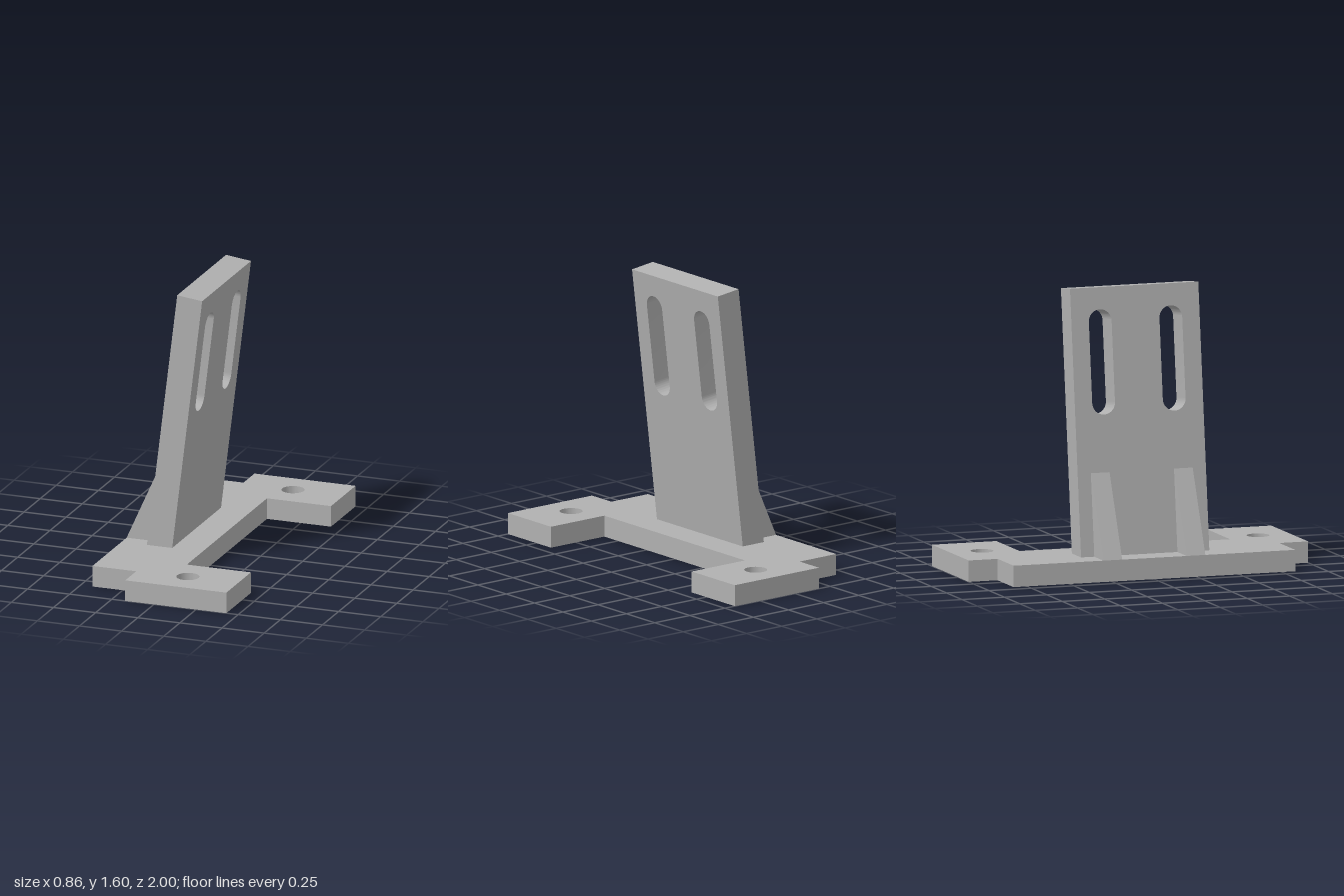
import * as THREE from 'three';
import { toCreasedNormals } from 'three/addons/utils/BufferGeometryUtils.js';

const BASE_TOP = 0.12;
const TILT = Math.atan2(0.18, 1.48); // lean of the upright towards +x
const BACK_FOOT = -0.28;             // x where the upright's back face meets the base

const polygon = (points) => new THREE.Shape(points.map(([x, y]) => new THREE.Vector2(x, y)));

// Straight extrusion with smooth holes and sharp edges
function slab(shape, depth) {
  const geometry = new THREE.ExtrudeGeometry(shape, { depth, bevelEnabled: false, curveSegments: 24 });
  return toCreasedNormals(geometry, Math.PI / 6);
}

export function createModel() {
  const model = new THREE.Group();
  model.name = 'slottedBracket';
  const grey = new THREE.MeshStandardMaterial({ color: 0xb0b0b0 });
  grey.name = 'plain grey';

  const add = (name, geometry) => {
    const mesh = new THREE.Mesh(geometry, grey);
    mesh.name = name;
    model.add(mesh);
    return mesh;
  };

  // Base plate with two forward ears, each with a bolt hole
  const half = [[-0.43, 0.83], [-0.17, 0.83], [-0.17, 1], [0.43, 1], [0.43, 0.62], [0.05, 0.62]];
  const mirrored = half.map(([x, y]) => [x, -y]).reverse();
  const baseShape = polygon([...half, ...mirrored].reverse());
  for (const side of [1, -1]) {
    baseShape.holes.push(new THREE.Path().absarc(0.13, side * 0.813, 0.064, 0, Math.PI * 2, true));
  }
  add('basePlate', slab(baseShape, BASE_TOP).rotateX(-Math.PI / 2));

  // Leaning upright with two long slots; its foot is sunk into the base
  const height = 1.48 / Math.cos(TILT);
  const w = 0.378;
  const uprightShape = polygon([[-w, -0.04], [w, -0.04], [w, height], [-w, height]]);
  const r = 0.067, low = 0.784 + r, high = 1.368 - r;
  for (const side of [1, -1]) {
    const slot = new THREE.Path();
    slot.absarc(side * 0.208, high, r, 0, Math.PI, false);
    slot.absarc(side * 0.208, low, r, Math.PI, Math.PI * 2, false);
    slot.closePath();
    uprightShape.holes.push(slot);
  }
  const upright = add('slottedUpright', slab(uprightShape, 0.149).rotateY(Math.PI / 2));
  upright.rotation.z = -TILT;
  upright.position.set(BACK_FOOT, BASE_TOP, 0);

  // Two triangular gussets behind the upright
  const gussetShape = polygon([[-0.43, BASE_TOP], [BACK_FOOT, BASE_TOP], [-0.224, 0.58]]);
  for (const [name, z] of [['leftGusset', -0.245], ['rightGusset', 0.245]]) {
    add(name, slab(gussetShape, 0.11)).position.z = z - 0.055;
  }
  return model;
}
